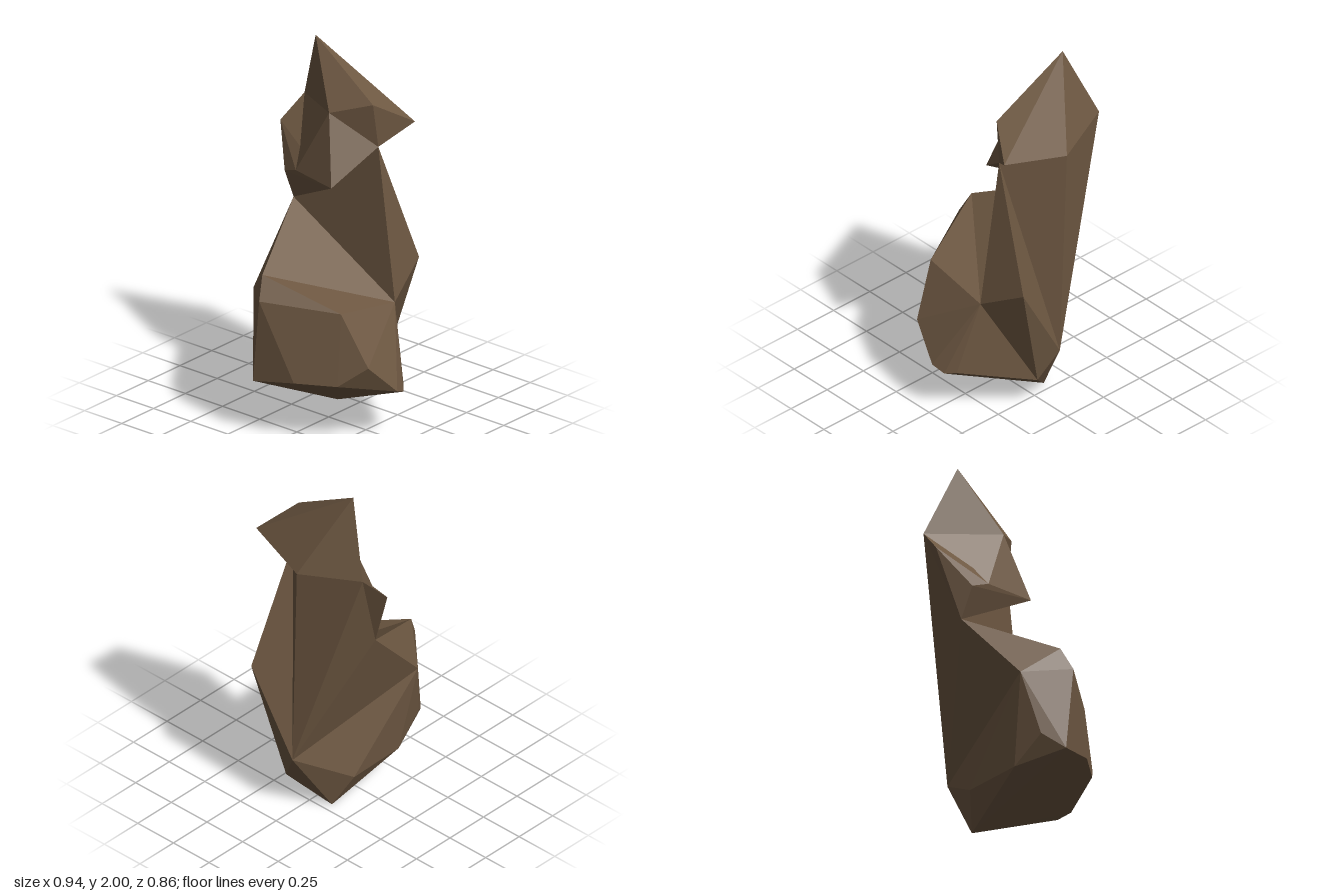
import * as THREE from 'three';
import { ConvexGeometry } from 'three/addons/geometries/ConvexGeometry.js';

// Faceted boulder from a few corner points
function rock(name, corners, material) {
  const geometry = new ConvexGeometry(corners.map(c => new THREE.Vector3(...c)));
  const mesh = new THREE.Mesh(geometry, material);
  mesh.name = name;
  return mesh;
}

export function createModel() {
  const group = new THREE.Group();
  group.name = 'rockPillar';
  const stone = new THREE.MeshStandardMaterial({ color: 0x6e5842, flatShading: true });
  stone.name = 'brownStone';

  // Corners shared by neighbouring boulders
  const peak = [-0.25, 2, -0.19];
  const brow = [0.17, 1.74, -0.15];
  const face = [-0.04, 1.67, -0.05];
  const chinRight = [0.06, 1.31, 0.05];
  const chinLeft = [-0.23, 1.31, -0.01];
  const neckRight = [0.18, 1.5, -0.18];
  const neckBack = [-0.07, 1.55, -0.42];
  const neckLeft = [-0.41, 1.6, -0.29];
  const waist = [-0.33, 1.1, -0.11];
  const hipRight = [0.3, 0.67, -0.17];
  const hipBack = [0.24, 0.82, -0.43];
  const heelBack = [-0.03, 0.35, -0.41];
  const heelLow = [0.07, 0.18, -0.35];
  const bellyTop = [-0.13, 0.88, 0.37];
  const bellyLeft = [-0.3, 0.72, 0.24];

  // Pointed cap stone with a spur on its left side
  group.add(rock('capStone', [peak, brow, face, neckLeft, neckBack, neckRight], stone));
  group.add(rock('capFront', [face, chinRight, chinLeft, neckLeft, neckBack, neckRight], stone));
  group.add(rock('capSpur', [peak, brow, [0.29, 1.62, -0.34], neckRight, neckBack], stone));

  // Overhang below the cap, with a knob on the right side
  group.add(rock('overhang', [
    neckLeft, [-0.47, 1.47, -0.17], chinLeft, [-0.33, 1.27, -0.04], waist, chinRight, neckRight,
  ], stone));

  // Upright slab, its sloping front and the fin behind its left edge
  group.add(rock('uprightSlab', [neckRight, neckBack, neckLeft, waist, heelBack], stone));
  group.add(rock('slabFront', [waist, neckRight, hipRight, heelBack], stone));
  group.add(rock('backFin', [neckRight, hipRight, hipBack, heelBack, heelLow], stone));

  // Sloping buttress from the slab to the front
  group.add(rock('buttress', [waist, hipRight, bellyTop, bellyLeft, heelBack], stone));

  // Wide foot stone bulging forward
  group.add(rock('footStone', [
    hipRight, heelBack, heelLow, bellyTop, bellyLeft,
    [-0.1, 0.76, 0.43], [0.28, 0.73, 0.23],
    [0.42, 0.45, 0.18], [0.47, 0.28, 0.01], [0.45, 0.25, -0.06], [0.41, 0.26, -0.11],
    [0.29, 0.34, 0.27], [0.09, 0.34, 0.38], [-0.15, 0.3, 0.42], [-0.23, 0.38, 0.32],
    [-0.24, 0.23, 0.16], [-0.21, 0.19, -0.14], [-0.11, 0, -0.2],
  ], stone));

  return group;
}
